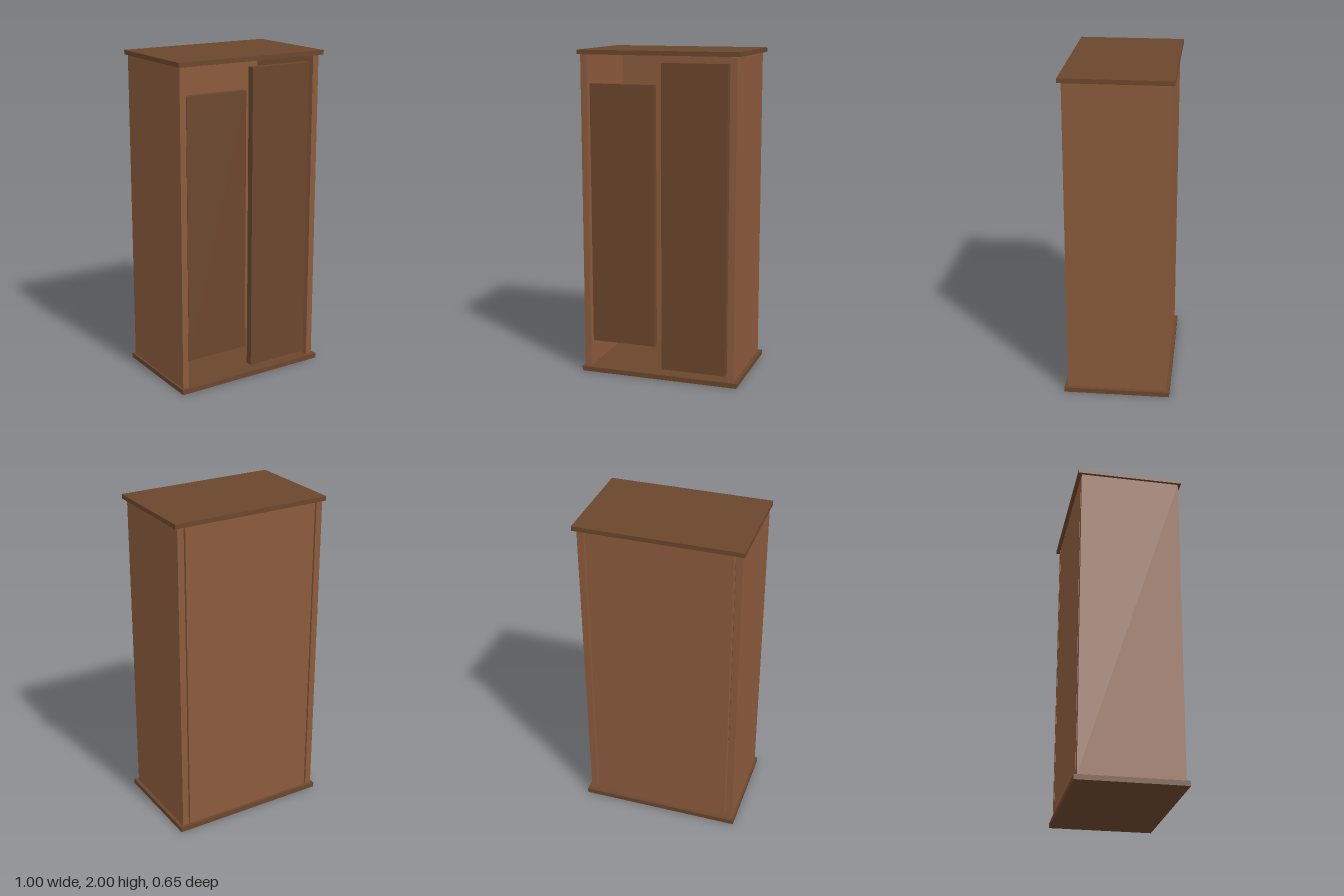
import * as THREE from 'three';

export function createModel() {
  const group = new THREE.Group();
  group.name = 'wardrobe';

  const panelWood = new THREE.MeshStandardMaterial({ color: 0x8b5a3c });
  panelWood.name = 'panelWood';
  const darkWood = new THREE.MeshStandardMaterial({ color: 0x6b462c });
  darkWood.name = 'darkWood';

  // Box given by its limits on each axis
  function board(name, material, [x0, x1], [y0, y1], [z0, z1]) {
    const mesh = new THREE.Mesh(new THREE.BoxGeometry(x1 - x0, y1 - y0, z1 - z0), material);
    mesh.position.set((x0 + x1) / 2, (y0 + y1) / 2, (z0 + z1) / 2);
    mesh.name = name;
    group.add(mesh);
  }

  // Overhanging base and top slabs
  board('base', darkWood, [-0.5, 0.5], [0, 0.03], [-0.325, 0.325]);
  board('top', darkWood, [-0.5, 0.5], [1.973, 2], [-0.325, 0.325]);

  // Carcass: two sides and a back with narrow gaps between them
  const height = [0.03, 1.97];
  board('rightSide', panelWood, [-0.487, -0.447], height, [-0.305, 0.305]);
  board('leftSide', panelWood, [0.437, 0.477], height, [-0.305, 0.305]);
  board('back', panelWood, [-0.436, 0.427], height, [-0.305, -0.265]);

  // Doors: one short, one full height
  board('shortDoor', darkWood, [-0.436, -0.032], [0.195, 1.8], [0.245, 0.29]);
  board('tallDoor', darkWood, [0.014, 0.42], [0.055, 1.93], [0.245, 0.29]);

  return group;
}
